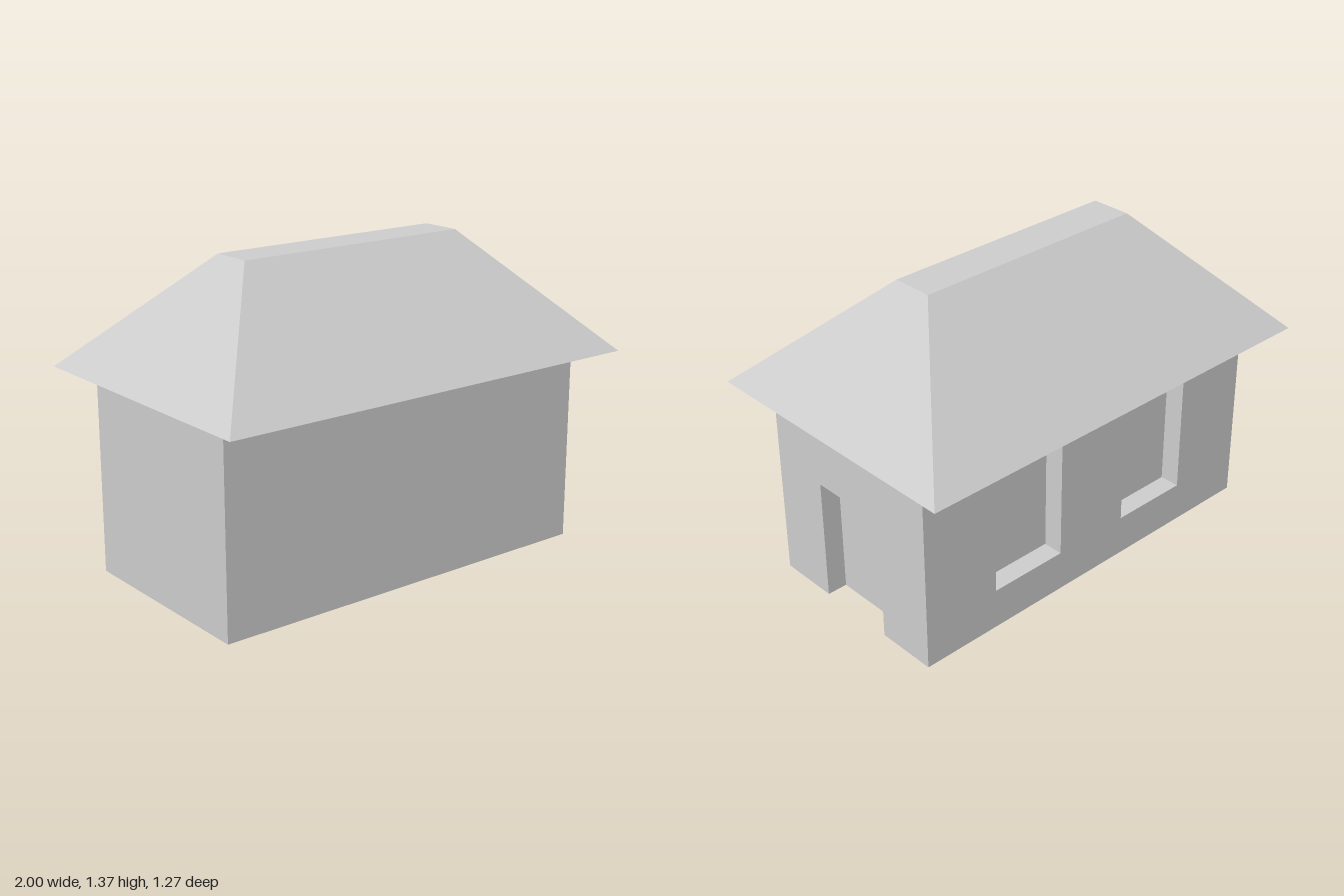
import * as THREE from 'three';

const W = 0.905, D = 0.4525, H = 0.868; // half width, half depth, wall height
const R = 0.09;                         // depth of door and window recesses

// Closed outline from [x, y] pairs
const outline = (pts, Type = THREE.Shape) => new Type(pts.map(([x, y]) => new THREE.Vector2(x, y)));

export function createModel() {
  const group = new THREE.Group();
  group.name = 'house';
  const grey = new THREE.MeshStandardMaterial({ color: 0xcccccc });
  grey.name = 'plain grey';

  const add = (name, geometry, x, y, z) => {
    const mesh = new THREE.Mesh(geometry, grey);
    mesh.name = name;
    mesh.position.set(x, y, z);
    group.add(mesh);
    return mesh;
  };

  // Solid core, its faces closing the backs of the recesses
  add('houseCore', new THREE.BoxGeometry(2 * W - R, H, 2 * D - R), -R / 2, H / 2, R / 2);

  // Back wall layer with two window openings
  const back = outline([[-W, 0], [W, 0], [W, H], [-W, H]]);
  for (const x of [-0.362, 0.362]) {
    const a = x - 0.181, b = x + 0.181;
    back.holes.push(outline([[a, 0.181], [a, 0.727], [b, 0.727], [b, 0.181]], THREE.Path));
  }
  const layer = { depth: R, bevelEnabled: false };
  add('backWindowWall', new THREE.ExtrudeGeometry(back, layer), 0, 0, -D);

  // Left end wall layer with a doorway open at the ground
  const d = 0.182, h = 0.548, end = D - R;
  const door = outline([[-D, 0], [-d, 0], [-d, h], [d, h], [d, 0], [end, 0], [end, H], [-D, H]]);
  add('doorWall', new THREE.ExtrudeGeometry(door, layer), W - R, 0, 0).rotation.y = Math.PI / 2;

  // Hipped roof with a flat ridge: a box whose top is drawn in
  const roof = new THREE.BoxGeometry(2, 0.497, 1.27);
  const p = roof.attributes.position;
  for (let i = 0; i < p.count; i++) {
    if (p.getY(i) > 0) {
      p.setX(i, Math.sign(p.getX(i)) * 0.545);
      p.setZ(i, Math.sign(p.getZ(i)) * 0.091);
    }
  }
  roof.computeVertexNormals();
  add('roof', roof, 0, H + 0.2485, 0);

  return group;
}
